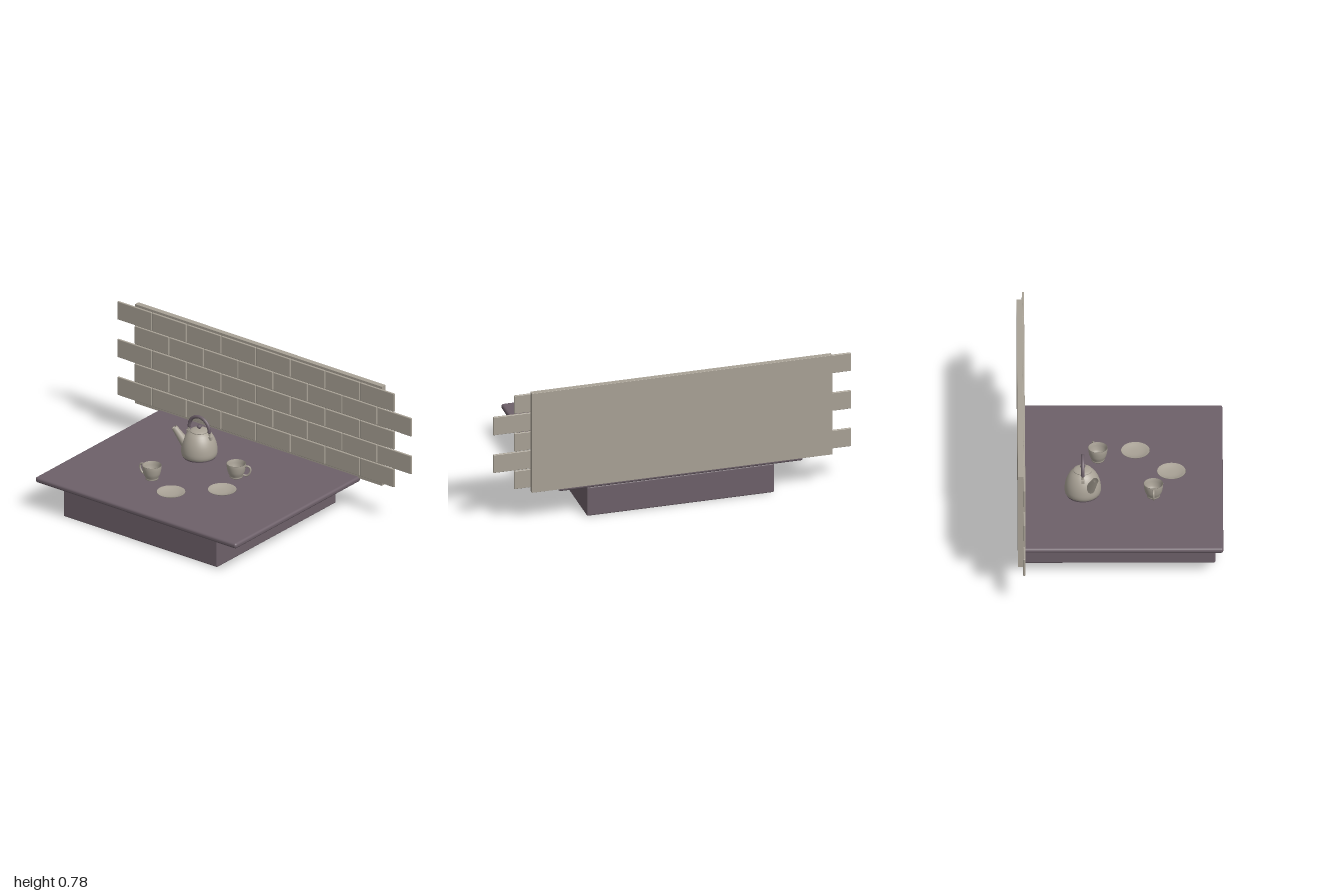
import * as THREE from 'three';
import { RoundedBoxGeometry } from 'three/addons/geometries/RoundedBoxGeometry.js';

const stone = new THREE.MeshStandardMaterial({ color: 0xa9a296, side: THREE.DoubleSide });
stone.name = 'warm grey ceramic';
const plum = new THREE.MeshStandardMaterial({ color: 0x6d6069, side: THREE.DoubleSide });
plum.name = 'dark plum';

const V = (x, y, z) => new THREE.Vector3(x, y, z);

function add(parent, name, geometry, material, x = 0, y = 0, z = 0) {
  const mesh = new THREE.Mesh(geometry, material);
  mesh.name = name;
  mesh.position.set(x, y, z);
  parent.add(mesh);
  return mesh;
}

// Rounded box given by its low and high corners
function block(parent, name, lo, hi, radius, material) {
  const s = hi.map((h, i) => h - lo[i]);
  const c = hi.map((h, i) => (h + lo[i]) / 2);
  return add(parent, name, new RoundedBoxGeometry(...s, 3, radius), material, ...c);
}

const lathe = (pts, n = 48) => new THREE.LatheGeometry(pts.map(p => new THREE.Vector2(...p)), n);

function tube(pts, radius, segments = 32) {
  return new THREE.TubeGeometry(new THREE.CatmullRomCurve3(pts.map(p => V(...p))), segments, radius, 10);
}

function makeKettle() {
  const g = new THREE.Group();
  g.name = 'kettle';
  add(g, 'kettleBase', new THREE.CylinderGeometry(0.09, 0.088, 0.007, 48), plum, 0, 0.0035, 0);
  add(g, 'kettleBody', lathe([
    [0, 0.005], [0.088, 0.005], [0.094, 0.011], [0.0975, 0.025], [0.098, 0.04], [0.096, 0.06],
    [0.092, 0.08], [0.085, 0.1], [0.075, 0.12], [0.063, 0.136], [0.05, 0.146], [0.047, 0.148], [0, 0.15],
  ]), stone);
  add(g, 'kettleLid', lathe([
    [0.046, 0.146], [0.05, 0.149], [0.049, 0.153], [0.035, 0.158], [0.015, 0.161], [0, 0.162],
  ]), stone);
  // Lid knob on a short stem
  add(g, 'lidKnob', lathe([
    [0.006, 0.158], [0.005, 0.165], [0.012, 0.17], [0.014, 0.175], [0.01, 0.181], [0, 0.183],
  ], 24), plum);

  // Arched grip with a bracket on each side
  const arc = [];
  for (let i = 0; i <= 12; i++) {
    const a = Math.PI * i / 12;
    arc.push([0.068 * Math.cos(a), 0.16 + 0.07 * Math.sin(a), 0]);
  }
  add(g, 'grip', tube(arc, 0.0095, 48), plum);
  for (const s of [-1, 1]) {
    add(g, 'gripEnd', new THREE.SphereGeometry(0.0095, 16, 12), plum, s * 0.068, 0.16, 0);
    add(g, 'gripBracket', tube([[s * 0.068, 0.165, 0], [s * 0.072, 0.14, 0], [s * 0.078, 0.118, 0]], 0.006, 10), stone);
    add(g, 'bracketFoot', new RoundedBoxGeometry(0.016, 0.022, 0.016, 2, 0.003), stone, s * 0.076, 0.126, 0);
  }

  // Tapered hollow spout
  const from = V(-0.055, 0.055, 0.032), to = V(-0.117, 0.162, 0.068);
  const dir = to.clone().sub(from), len = dir.length();
  const spout = add(g, 'spout', lathe([
    [0.03, 0], [0.023, len * 0.45], [0.016, len], [0.012, len], [0.014, len * 0.7], [0, len * 0.68],
  ], 24), stone, from.x, from.y, from.z);
  spout.quaternion.setFromUnitVectors(V(0, 1, 0), dir.normalize());
  return g;
}

function makeCup() {
  const g = new THREE.Group();
  g.name = 'cup';
  add(g, 'cupBowl', lathe([
    [0, 0.002], [0.026, 0.002], [0.028, 0], [0.035, 0], [0.035, 0.006], [0.033, 0.008], [0.041, 0.02],
    [0.047, 0.037], [0.051, 0.06], [0.0525, 0.079], [0.05, 0.08], [0.047, 0.06],
    [0.043, 0.037], [0.035, 0.02], [0.022, 0.011], [0, 0.009],
  ]), stone);
  add(g, 'cupHandle', tube([
    [0.047, 0.066, 0], [0.062, 0.071, 0], [0.077, 0.064, 0], [0.08, 0.045, 0],
    [0.072, 0.026, 0], [0.058, 0.015, 0], [0.038, 0.017, 0],
  ], 0.005), stone);
  return g;
}

function makeSaucer() {
  const g = new THREE.Group();
  g.name = 'saucer';
  add(g, 'saucerDish', lathe([
    [0, 0.002], [0.036, 0.002], [0.038, 0], [0.042, 0], [0.044, 0.004], [0.062, 0.01], [0.077, 0.018],
    [0.076, 0.02], [0.06, 0.0135], [0.042, 0.008], [0.02, 0.006], [0, 0.006],
  ]), stone);
  return g;
}

export function createModel() {
  const model = new THREE.Group();
  model.name = 'teaCounter';

  // Counter
  block(model, 'counterBase', [-0.57, 0, -0.525], [0.475, 0.172, 0.508], 0.008, plum);
  block(model, 'counterTop', [-0.73, 0.17, -0.535], [0.635, 0.201, 0.55], 0.013, plum);

  // Back panel with staggered tiles
  block(model, 'backPanel', [-0.887, 0.193, -0.55], [0.79, 0.78, -0.52], 0.001, stone);
  const pitchX = 0.2355, pitchY = 0.1115, gap = 0.005;
  for (let row = 0; row < 5; row++) {
    const y = 0.766 - row * pitchY;
    for (let i = 0; i < 8; i++) {
      const x = -1 + (row % 2) * 0.1165 + i * pitchX;
      block(model, 'wallTile', [x, y - pitchY + gap, -0.522], [x + pitchX - gap, y, -0.51], 0.003, stone);
    }
  }

  // Tea set
  const place = (part, x, z, turn = 0) => {
    part.position.set(x, 0.201, z);
    part.rotation.y = turn;
    model.add(part);
  };
  place(makeKettle(), -0.2, -0.2);
  place(makeCup(), -0.226, 0.178, Math.PI);
  place(makeCup(), 0.115, -0.118, 0.35);
  place(makeSaucer(), 0.177, 0.083);
  place(makeSaucer(), -0.02, 0.275);
  return model;
}
